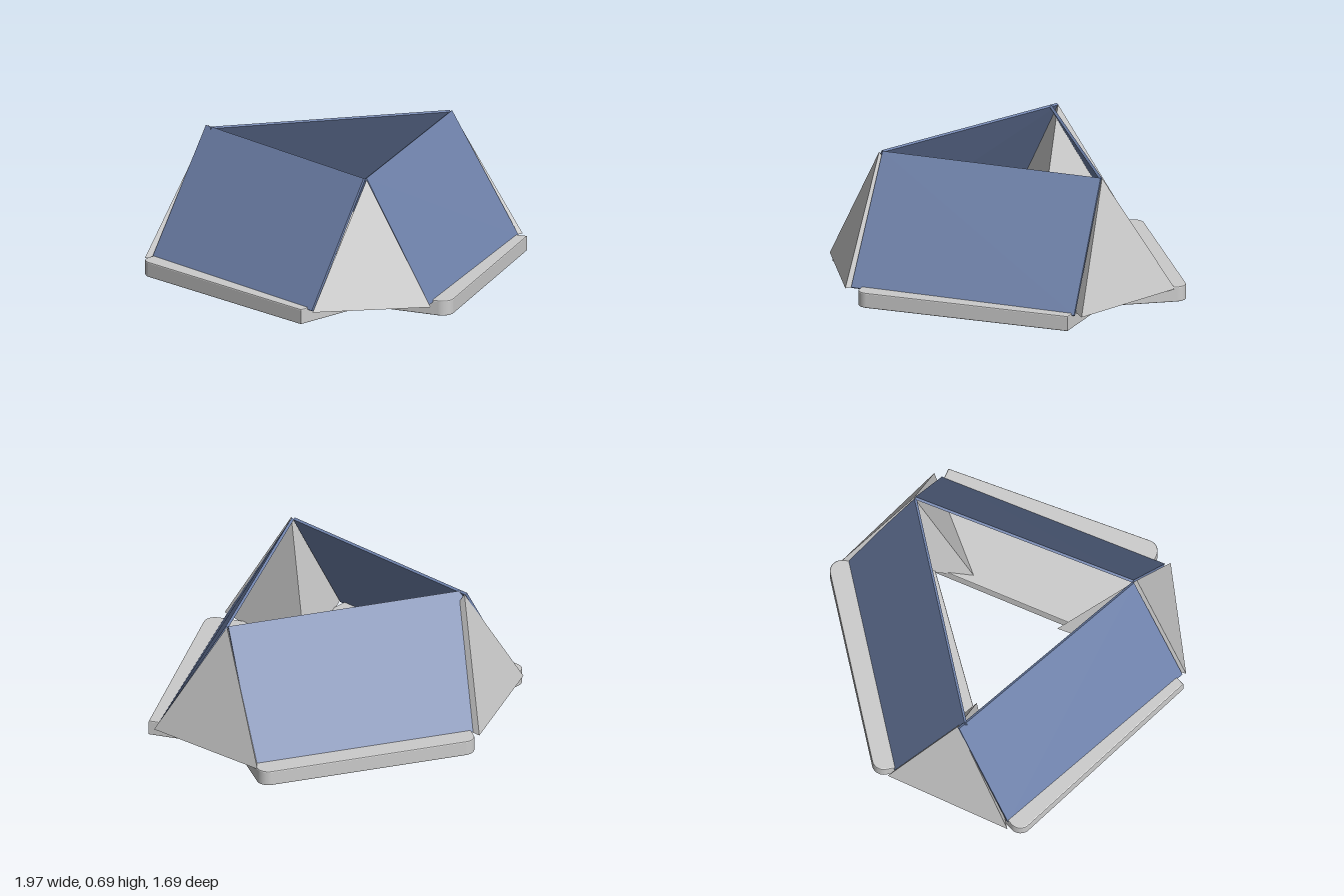
import * as THREE from 'three';
import { ConvexGeometry } from 'three/addons/geometries/ConvexGeometry.js';

const grey = new THREE.MeshStandardMaterial({ color: 0xcccccc });
const blue = new THREE.MeshStandardMaterial({ color: 0x6f82ab });
const BASE_Y = 0.068, TOP_Y = 0.69;

// Flat slab with rounded plan corners, standing on y = 0
function slabGeometry(length, width, height, r) {
  const x = length / 2, y = width / 2, b = 0.006;
  const s = new THREE.Shape();
  s.moveTo(-x + r, -y);
  s.absarc(x - r, -y + r, r - b, -Math.PI / 2, 0);
  s.absarc(x - r, y - r, r - b, 0, Math.PI / 2);
  s.absarc(-x + r, y - r, r - b, Math.PI / 2, Math.PI);
  s.absarc(-x + r, -y + r, r - b, Math.PI, Math.PI * 1.5);
  s.curves.shift(); // the first join is closed by the last arc
  const g = new THREE.ExtrudeGeometry(s, {
    depth: height - 2 * b, bevelThickness: b, bevelSize: b, bevelSegments: 2, curveSegments: 8,
  });
  return g.rotateX(-Math.PI / 2).translate(0, b, 0);
}

// Thin leaning panel from four corners, thickened along its normal
function panelGeometry(corners, thickness) {
  const [a, b, , d] = corners;
  const n = b.clone().sub(a).cross(d.clone().sub(a)).setLength(thickness / 2);
  return new ConvexGeometry(corners.flatMap((p) => [p.clone().add(n), p.clone().sub(n)]));
}

export function createModel() {
  const model = new THREE.Group();
  const add = (name, geometry, material) => {
    const mesh = new THREE.Mesh(geometry, material);
    mesh.name = name;
    model.add(mesh);
    return mesh;
  };
  const low = ([x, z]) => new THREE.Vector3(x, BASE_Y, z);
  const high = ([x, z]) => new THREE.Vector3(x, TOP_Y, z);

  // Three overlapping base slabs: centre x, z and turn in degrees
  const slab = slabGeometry(1.15, 0.57, 0.08, 0.06);
  for (const [name, x, z, turn] of [
    ['backBase', 0.03, -0.567, 0],
    ['leftBase', 0.452, 0.183, 54.5],
    ['rightBase', -0.486, 0.157, -60.6],
  ]) {
    const base = add(name, slab, grey);
    base.position.set(x, 0, z);
    base.rotation.y = THREE.MathUtils.degToRad(turn);
  }

  // Three inward-leaning panels: lower edge ends, then upper edge ends
  for (const [name, p, q, r, s] of [
    ['backPanel', [-0.565, -0.745], [0.6, -0.745], [0.63, -0.393], [-0.61, -0.393]],
    ['leftPanel', [0.935, -0.195], [0.245, 0.81], [-0.03, 0.59], [0.635, -0.395]],
    ['rightPanel', [-0.94, -0.25], [-0.345, 0.775], [-0.035, 0.59], [-0.62, -0.435]],
  ]) {
    add(name, panelGeometry([low(p), low(q), high(r), high(s)], 0.014), blue);
  }

  // Corner pyramids: two outer feet, the inner foot, then the peak
  for (const [name, p, q, inner, peak] of [
    ['frontCorner', [-0.35, 0.797], [0.25, 0.843], [0.022, 0.21], [-0.028, 0.61]],
    ['backLeftCorner', [0.968, -0.225], [0.6, -0.785], [0.38, -0.14], [0.638, -0.4]],
    ['backRightCorner', [-0.98, -0.258], [-0.575, -0.79], [-0.285, -0.27], [-0.61, -0.435]],
  ]) {
    add(name, new ConvexGeometry([low(p), low(q), low(inner), high(peak)]), grey);
  }
  return model;
}
